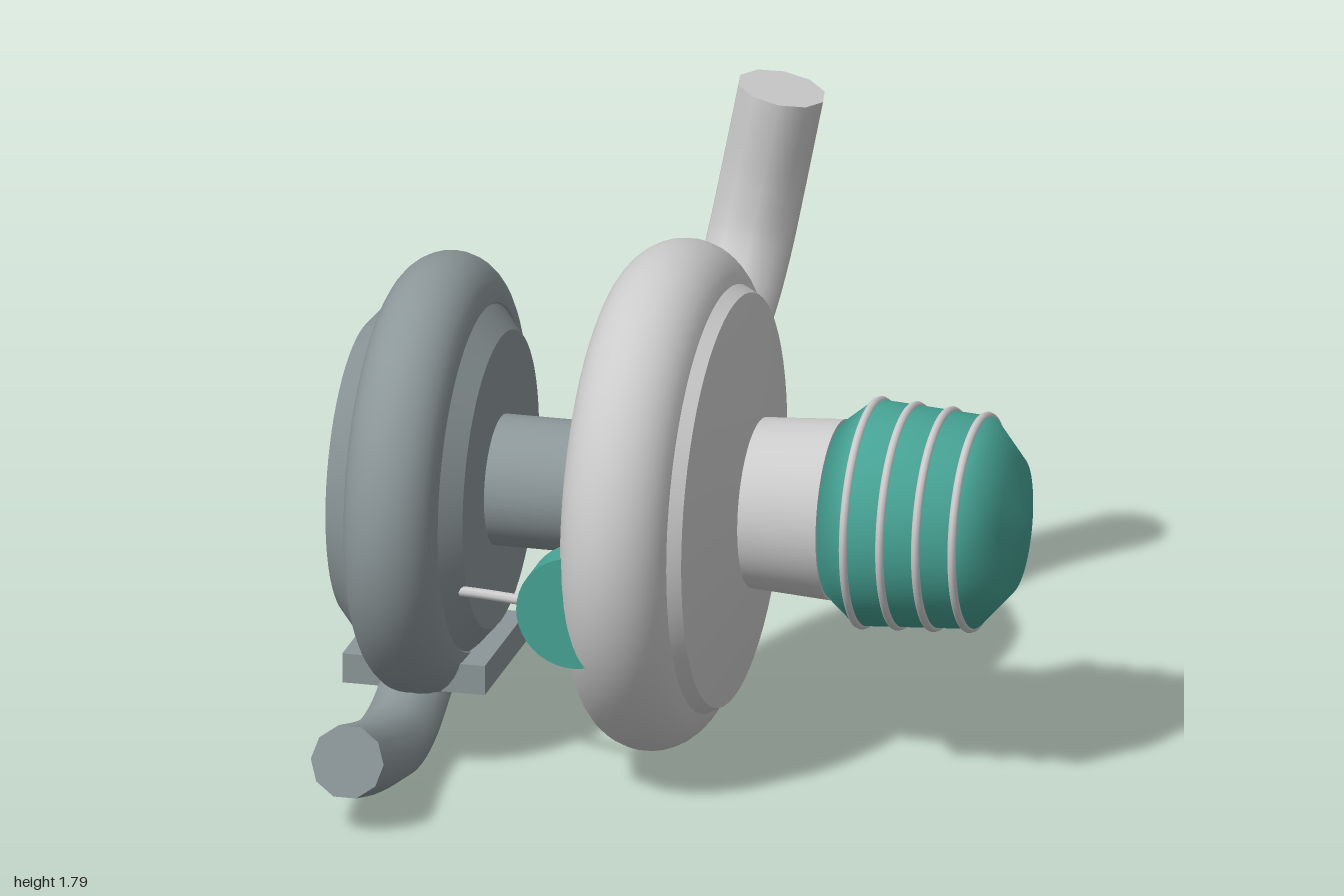
import * as THREE from 'three';
import { toCreasedNormals } from 'three/addons/utils/BufferGeometryUtils.js';

const AXIS_Y = 0.79; // height of the shaft line

export function createModel() {
  const model = new THREE.Group();
  model.name = 'turbocharger';
  const light = new THREE.MeshStandardMaterial({ color: 0xcccccc });
  const dark = new THREE.MeshStandardMaterial({ color: 0x8c9799 });
  const teal = new THREE.MeshStandardMaterial({ color: 0x46a294 });

  function add(name, geometry, material, parent = model) {
    const mesh = new THREE.Mesh(geometry, material);
    mesh.name = name;
    parent.add(mesh);
    return mesh;
  }

  // Turned part about the shaft line; profile is [x, radius] from left to right
  function turned(name, profile, material, crease = 0.6) {
    let g = new THREE.LatheGeometry(profile.map(([x, r]) => new THREE.Vector2(r, x)), 64);
    if (crease) g = toCreasedNormals(g, crease);
    g.rotateZ(-Math.PI / 2);
    g.translate(0, AXIS_Y, 0);
    return add(name, g, material);
  }

  // Rounded rim of a scroll housing, swept from angle a0 to a1 (PI = left, 0 = right)
  function rim(cx, ringRadius, tube, a0, a1, steps = 16) {
    return Array.from({ length: steps + 1 }, (_, i) => {
      const a = a0 + (a1 - a0) * i / steps;
      return [cx + Math.cos(a) * tube, ringRadius + Math.sin(a) * tube];
    });
  }

  // Bent round pipe with flat end caps
  function pipe(name, points, radius, material, sides) {
    const group = new THREE.Group();
    group.name = name;
    model.add(group);
    const curve = new THREE.CatmullRomCurve3(points.map(p => new THREE.Vector3(...p)));
    const steps = 28;
    const tube = new THREE.TubeGeometry(curve, steps, radius, sides);
    add(name + 'Wall', tube, material, group);
    const pos = tube.attributes.position;
    for (const end of [0, 1]) {
      const verts = [];
      const vertex = j => new THREE.Vector3().fromBufferAttribute(pos, end * steps * (sides + 1) + j);
      const centre = curve.getPoint(end), tangent = curve.getTangent(end).multiplyScalar(end ? 1 : -1);
      for (let j = 0; j < sides; j++) {
        const a = vertex(j), b = vertex(j + 1);
        const n = a.clone().sub(centre).cross(b.clone().sub(centre));
        const tri = n.dot(tangent) > 0 ? [centre, a, b] : [centre, b, a];
        tri.forEach(v => verts.push(v.x, v.y, v.z));
      }
      const cap = new THREE.BufferGeometry();
      cap.setAttribute('position', new THREE.Float32BufferAttribute(verts, 3));
      cap.computeVertexNormals();
      add(name + (end ? 'OuterCap' : 'InnerCap'), cap, material, group);
    }
  }

  // Exhaust side: scroll housing, outlet pipe and foot bracket
  turned('turbineHousing', [
    [-1, 0], [-1, 0.435], [-0.92, 0.525],
    ...rim(-0.78, 0.515, 0.14, Math.PI, 0),
    [-0.645, 0.51], [-0.585, 0.44], [-0.585, 0],
  ], dark);
  pipe('exhaustPipe', [
    [-0.8, 0.2, 0.12], [-0.8, 0.13, 0.28], [-0.8, 0.11, 0.45], [-0.8, 0.155, 0.7], [-0.8, 0.225, 0.945],
  ], 0.11, dark, 10);
  add('footBracket', new THREE.BoxGeometry(0.43, 0.09, 0.48), dark).position.set(-0.785, 0.25, 0);

  // Bearing housing between the two scrolls
  turned('bearingHousing', [[-0.6, 0], [-0.6, 0.193], [-0.2, 0.193], [-0.2, 0]], dark);

  // Intake side: scroll housing with sloping cover, inlet neck and outlet pipe
  turned('compressorHousing', [
    [-0.22, 0], [-0.22, 0.49],
    ...rim(-0.08, 0.585, 0.167, Math.PI * 1.18, 0.28, 20),
    [0.12, 0.61], [0.195, 0.25], [0.195, 0],
  ], light, 0.4);
  turned('inletNeck', [[0.18, 0], [0.18, 0.25], [0.435, 0.266], [0.435, 0]], light);
  pipe('compressorOutlet', [
    [-0.06, 1.12, -0.62], [-0.055, 1.19, -0.715], [-0.04, 1.31, -0.795], [-0.012, 1.48, -0.83], [0.045, 1.77, -0.83],
  ], 0.132, light, 10);

  // Air filter with a shallow dome and wire bands
  turned('airFilter', [
    [0.435, 0], [0.436, 0.26], [0.525, 0.333], [0.87, 0.312], [0.97, 0.2], [1, 0],
  ], teal, 0);
  [[0.535, 0.33], [0.643, 0.324], [0.75, 0.319], [0.858, 0.312]].forEach(([x, r], i) => {
    const band = add('filterBand' + (i + 1), new THREE.TorusGeometry(r, 0.013, 8, 64), light);
    band.rotation.y = Math.PI / 2;
    band.position.set(x, AXIS_Y, 0);
  });

  // Boost actuator canister, partly sunk in the compressor, and its bent rod
  const can = add('actuatorCanister', new THREE.CylinderGeometry(0.17, 0.17, 0.14, 40), teal);
  can.rotation.x = Math.PI / 2;
  can.position.set(-0.195, 0.64, 0.59);
  pipe('actuatorRod', [[-0.64, 0.57, 0.365], [-0.5, 0.603, 0.465], [-0.33, 0.62, 0.54]], 0.016, light, 8);

  return model;
}
